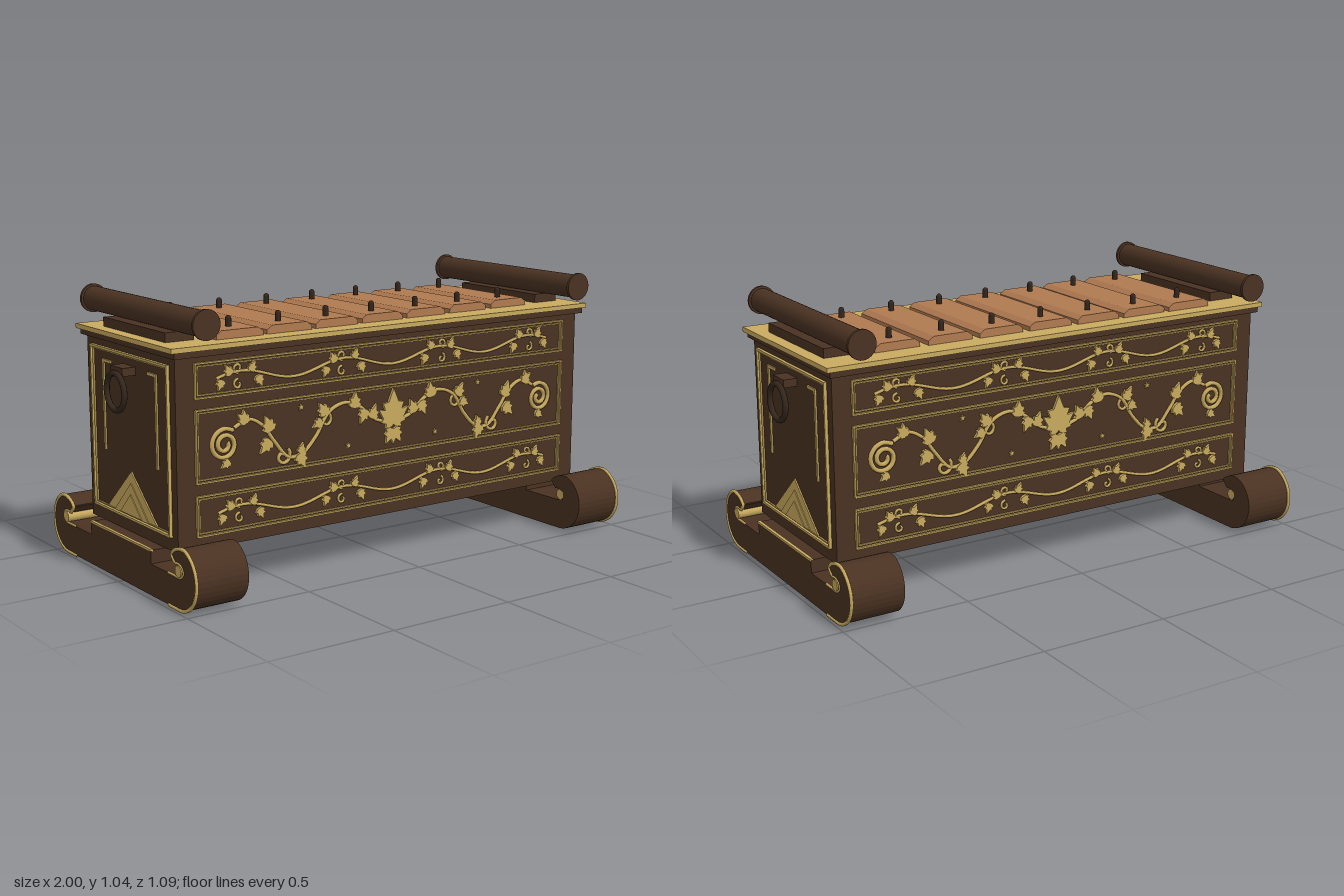
import * as THREE from 'three';

const mat = (name, color) => {
  const m = new THREE.MeshStandardMaterial({ color });
  m.name = name;
  return m;
};

export function createModel() {
  const root = new THREE.Group();
  root.name = 'barInstrument';
  const wood = mat('darkWood', 0x4a3222);
  const gold = mat('gold', 0xc9aa5e);
  const copper = mat('copper', 0xb07a50);
  const iron = mat('darkIron', 0x34261c);

  const add = (parent, name, geo, material, x = 0, y = 0, z = 0) => {
    const m = new THREE.Mesh(geo, material);
    m.name = name;
    m.position.set(x, y, z);
    parent.add(m);
    return m;
  };
  const box = (parent, name, material, w, h, d, x, y, z) =>
    add(parent, name, new THREE.BoxGeometry(w, h, d), material, x, y, z);
  const polygon = (pts) => new THREE.Shape(pts.map((p) => new THREE.Vector2(p[0], p[1])));
  const plate = (shape, depth, curveSegments = 12) =>
    new THREE.ExtrudeGeometry(shape, { depth, bevelEnabled: false, curveSegments });
  const tube = (pts, r, n) => new THREE.TubeGeometry(
    new THREE.CatmullRomCurve3(pts.map((p) => new THREE.Vector3(p[0], p[1], 0))), n, r, 6);

  // Rectangular frame between two corners, facing +z
  const frame = (parent, name, hw, y0, y1, t, z, depth) => {
    const s = polygon([[-hw, y0], [hw, y0], [hw, y1], [-hw, y1]]);
    s.holes.push(new THREE.Path([[-hw + t, y0 + t], [-hw + t, y1 - t], [hw - t, y1 - t], [hw - t, y0 + t]]
      .map((p) => new THREE.Vector2(p[0], p[1]))));
    add(parent, name, plate(s, depth), gold, 0, 0, z);
  };

  // Chest
  box(root, 'chest', wood, 1.86, 0.69, 0.65, 0, 0.52, 0);
  box(root, 'lidMoulding', wood, 1.89, 0.022, 0.698, 0, 0.876, 0);
  box(root, 'lid', gold, 1.92, 0.018, 0.714, 0, 0.896, 0);

  // Key bars, shrinking toward the left, each with two pins
  for (let i = 0; i < 7; i++) {
    const w = 0.195 - i * 0.0025, half = 0.287 - i * 0.0055, x = -0.64 + i * 0.2125;
    const section = polygon([[-w / 2, 0], [w / 2, 0], [w / 2, 0.016], [w / 2 - 0.022, 0.031],
      [-w / 2 + 0.022, 0.031], [-w / 2, 0.016]]);
    add(root, 'keyBar', plate(section, half * 2), copper, x, 0.905, -half - 0.004);
    for (const s of [-1, 1]) {
      const z = s * (0.208 - i * 0.0035) - 0.004;
      add(root, 'pin', new THREE.CylinderGeometry(0.011, 0.011, 0.06, 12), iron, x, 0.934, z);
      add(root, 'pinCap', new THREE.SphereGeometry(0.011, 12, 6, 0, Math.PI * 2, 0, Math.PI / 2), iron, x, 0.964, z);
    }
  }

  // Carved leaf pointing along its angle
  const leafShape = polygon([[0, -0.1], [0.28, -0.06], [0.5, 0.18], [0.32, 0.26], [0.42, 0.52], [0.2, 0.55],
    [0, 1], [-0.2, 0.55], [-0.42, 0.52], [-0.32, 0.26], [-0.5, 0.18], [-0.28, -0.06]]);
  const leaf = (parent, x, y, angle, size) => {
    const m = add(parent, 'leaf', plate(leafShape, 0.011), gold, x, y, 0);
    m.rotation.z = angle;
    m.scale.set(size, size, 1);
  };
  const curl = (parent, x, y, r, turns, start, dir, thick) => {
    const pts = [];
    for (let i = 0; i <= turns * 10; i++) {
      const k = i / (turns * 10), a = start + dir * k * turns * Math.PI * 2, q = r * (1 - 0.8 * k);
      pts.push([x + Math.cos(a) * q, y + Math.sin(a) * q]);
    }
    add(parent, 'curl', tube(pts, thick, turns * 28), gold, 0, 0, 0.002);
  };

  // Long carved side
  const side = () => {
    const g = new THREE.Group();
    for (const [y0, y1] of [[0.714, 0.842], [0.412, 0.677], [0.22, 0.37]]) {
      frame(g, 'panelFrame', 0.857, y0, y1, 0.006, 0.323, 0.012);
      frame(g, 'panelInnerFrame', 0.847, y0 + 0.011, y1 - 0.011, 0.005, 0.323, 0.009);
    }
    const o = new THREE.Group();
    o.name = 'carving';
    o.position.z = 0.326;
    g.add(o);

    // Narrow vine borders
    for (const yc of [0.775, 0.292]) {
      const pts = [];
      for (let i = 0; i <= 36; i++) {
        const x = -0.77 + i * 1.54 / 36;
        pts.push([x, yc - 0.022 * Math.cos(x * Math.PI * 2 / 0.446)]);
      }
      add(o, 'borderVine', tube(pts, 0.006, 90), gold, 0, 0, 0.002);
      for (const x of [-0.669, -0.223, 0.223, 0.669]) {
        const s = Math.sign(x);
        leaf(o, x - 0.04 * s, yc + 0.02, 0.5 * s, 0.04);
        leaf(o, x + 0.045 * s, yc + 0.015, -0.5 * s, 0.042);
        leaf(o, x - 0.07 * s, yc - 0.005, Math.PI - 0.4 * s, 0.042);
        leaf(o, x + 0.08 * s, yc - 0.005, Math.PI + 0.4 * s, 0.04);
        curl(o, x + 0.01 * s, yc + 0.033, 0.02, 1, -Math.PI / 2, s, 0.005);
        curl(o, x + 0.01 * s, yc - 0.025, 0.02, 1, Math.PI / 2, -s, 0.005);
      }
    }

    // Central scroll, mirrored about the middle
    for (const s of [-1, 1]) {
      add(o, 'scrollVine', tube([[0.035, 0.535], [0.09, 0.555], [0.15, 0.605], [0.215, 0.63], [0.29, 0.605],
        [0.35, 0.52], [0.41, 0.465], [0.47, 0.46], [0.53, 0.525], [0.58, 0.59], [0.64, 0.62], [0.7, 0.595]]
        .map((p) => [p[0] * s, p[1]]), 0.0075, 70), gold, 0, 0, 0.002);
      curl(o, s * 0.738, 0.54, 0.06, 2, s > 0 ? 2.2 : Math.PI - 2.2, -s, 0.009);
      curl(o, s * 0.495, 0.465, 0.036, 1, s > 0 ? 2.2 : Math.PI - 2.2, s, 0.007);
      curl(o, s * 0.305, 0.575, 0.028, 1, Math.PI / 2, s, 0.006);
      for (const [x, y, a, k] of [[0.66, 0.61, 0, 0.05], [0.65, 0.615, -0.9, 0.05], [0.55, 0.57, -0.4, 0.062],
        [0.555, 0.53, -2.4, 0.06], [0.425, 0.462, 2.7, 0.058], [0.42, 0.47, 0.3, 0.04], [0.31, 0.6, -0.6, 0.055],
        [0.33, 0.575, -2.1, 0.045], [0.18, 0.61, 0.1, 0.06], [0.13, 0.59, -2.7, 0.055], [0.1, 0.56, 0.4, 0.055],
        [0.725, 0.48, -2.2, 0.04], [0, 0.535, -0.95, 0.085], [0.005, 0.5, -2.6, 0.06]])
        leaf(o, x * s, y, a * s, k);
      for (const [x, y] of [[0.415, 0.636], [0.205, 0.466]])
        add(o, 'stud', plate(polygon([...Array(10)].map((_, i) => {
          const r = i % 2 ? 0.006 : 0.014, a = Math.PI / 2 + i * Math.PI / 5;
          return [Math.cos(a) * r, Math.sin(a) * r];
        })), 0.007), gold, x * s, y, 0);
    }
    leaf(o, 0, 0.545, 0, 0.115);
    leaf(o, 0, 0.5, Math.PI, 0.055);
    return g;
  };

  // Runner foot profile with a scroll at both ends
  const half = [[0.23, 0.175], [0.23, 0.125], [0.41, 0.125], [0.445, 0.13], [0.448, 0.16], [0.42, 0.172],
    [0.4, 0.17], [0.376, 0.197]];
  const arc = [];
  for (let i = 0; i <= 20; i++) {
    const a = 2.15 - (2.15 + Math.PI / 2) * i / 20, r = 0.113 - 0.018 * Math.max(0, 1 - i / 5);
    arc.push([0.428 + Math.cos(a) * r, 0.122 + Math.sin(a) * r]);
  }
  const outline = [...half, ...arc];
  const foot = polygon([...outline, ...outline.map(([x, y]) => [-x, y]).reverse()]);

  // End of the chest with its runner, handle and top roll, facing +z
  const end = () => {
    const g = new THREE.Group();
    add(g, 'runnerFoot', plate(foot, 0.21), wood, 0, 0, 0.777);
    box(g, 'runnerStrip', gold, 0.46, 0.009, 0.012, 0, 0.175, 0.985);
    for (const s of [-1, 1]) {
      const rim = [[0.4, 0.172], [0.376, 0.197], ...arc.slice(1), [0.35, 0.009]];
      add(g, 'scrollRim', tube(rim.map((p) => [p[0] * s, p[1]]), 0.007, 80), gold, 0, 0, 0.985);
      add(g, 'scrollInnerRim', tube([[0.35, 0.126], [0.4, 0.126], [0.435, 0.127], [0.456, 0.145], [0.448, 0.165],
        [0.425, 0.174], [0.4, 0.172]].map((p) => [p[0] * s, p[1]]), 0.005, 40), gold, 0, 0, 0.986);
      const eye = add(g, 'scrollEye', new THREE.CylinderGeometry(0.021, 0.021, 0.215, 20), gold, s * 0.428, 0.149, 0.885);
      eye.rotation.x = Math.PI / 2;
      box(g, 'cornerLineUpright', gold, 0.012, 0.34, 0.008, s * 0.196, 0.62, 0.932);
      box(g, 'cornerLineTop', gold, 0.065, 0.011, 0.008, s * 0.17, 0.786, 0.932);
    }
    // End panel frame and stepped triangle
    frame(g, 'endFrame', 0.287, 0.225, 0.837, 0.009, 0.928, 0.014);
    frame(g, 'endInnerFrame', 0.275, 0.237, 0.825, 0.004, 0.928, 0.008);
    [[0.185, 0.405], [0.125, 0.362], [0.08, 0.32]].forEach(([w, top], i) =>
      add(g, 'triangle', plate(polygon([[-w, 0.242], [w, 0.242], [0, top]]), 0.006 + i * 0.003), gold, 0, 0, 0.929));
    // Ring handle
    box(g, 'handleBracket', wood, 0.09, 0.03, 0.055, 0, 0.78, 0.955);
    add(g, 'ringHandle', new THREE.TorusGeometry(0.067, 0.011, 10, 40), iron, 0, 0.705, 0.988);
    // Top roll on its block
    box(g, 'rollBlock', wood, 0.46, 0.035, 0.115, 0, 0.922, 0.853);
    const p = [[0, -0.418], [0.054, -0.418], [0.054, -0.407], [0.046, -0.405], [0.046, 0.405],
      [0.054, 0.407], [0.054, 0.418], [0, 0.418]].map((q) => new THREE.Vector2(q[0], q[1]));
    const roll = add(g, 'topRoll', new THREE.LatheGeometry(p.flatMap((q) => [q, q.clone()]), 36), wood, 0, 0.985, 0.855);
    roll.rotation.z = Math.PI / 2;
    return g;
  };

  for (const [name, make, turn] of [['frontSide', side, 0], ['backSide', side, Math.PI],
    ['leftEnd', end, Math.PI / 2], ['rightEnd', end, -Math.PI / 2]]) {
    const g = make();
    g.name = name;
    g.rotation.y = turn;
    root.add(g);
  }
  return root;
}
